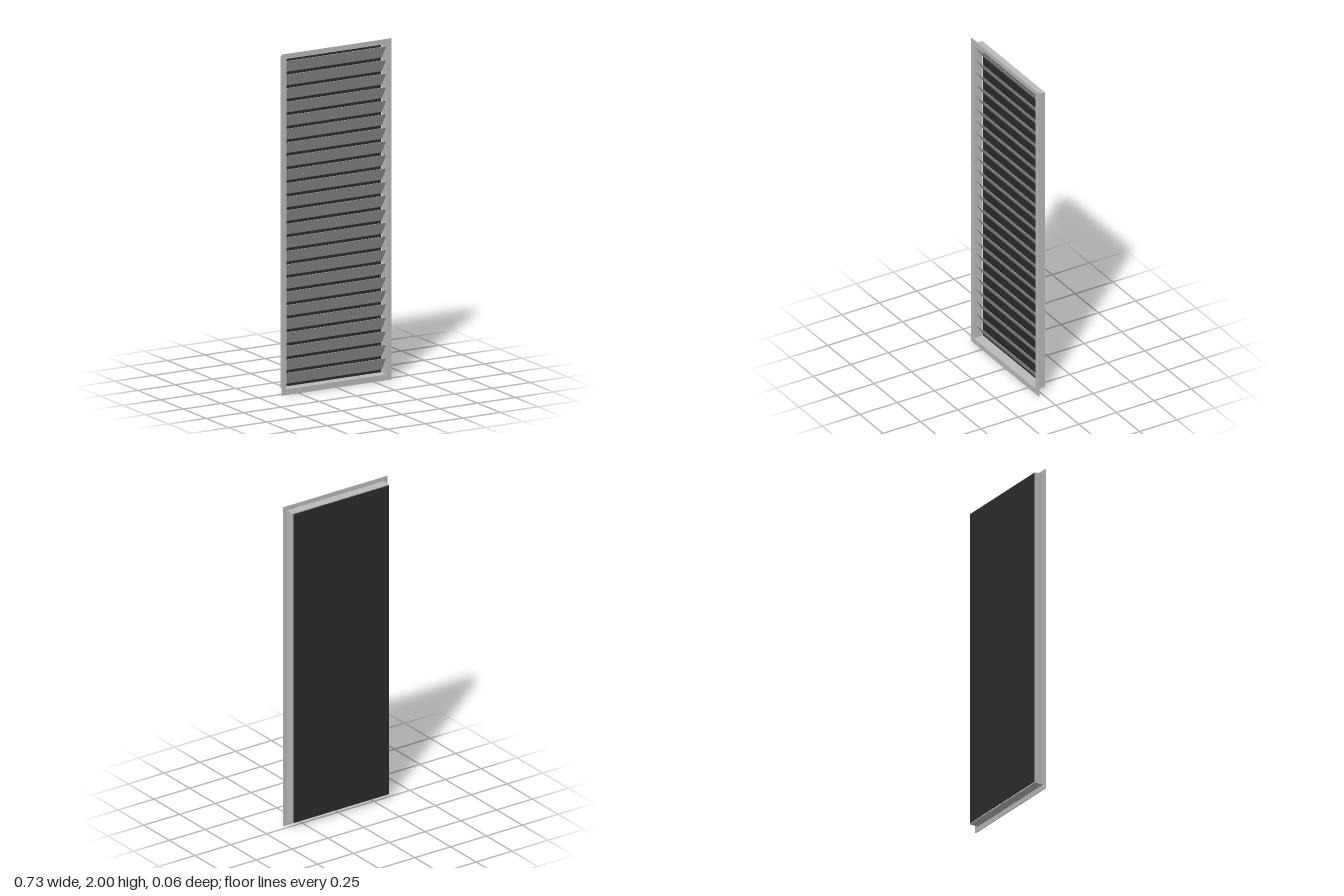
import * as THREE from 'three';

// Rectangular ring extruded forward from z0 to z1
function ring(outer, inner, z0, z1, material, name) {
  const rect = (T, [x, y0, y1]) => {
    const s = new T();
    s.moveTo(-x, y0);
    s.lineTo(x, y0);
    s.lineTo(x, y1);
    s.lineTo(-x, y1);
    s.closePath();
    return s;
  };
  const shape = rect(THREE.Shape, outer);
  shape.holes.push(rect(THREE.Path, inner));
  const geometry = new THREE.ExtrudeGeometry(shape, { depth: z1 - z0, bevelEnabled: false });
  geometry.translate(0, 0, z0);
  const mesh = new THREE.Mesh(geometry, material);
  mesh.name = name;
  return mesh;
}

export function createModel() {
  const metal = new THREE.MeshStandardMaterial({ color: 0xb8bbb9 });
  metal.name = 'grey metal';
  const black = new THREE.MeshStandardMaterial({ color: 0x2c2c2c });
  black.name = 'black backing';

  const group = new THREE.Group();
  group.name = 'louvreVent';

  // Front flange and the sleeve behind it
  const opening = [0.333, 0.034, 1.971];
  group.add(ring([0.364, 0, 2], opening, 0.026, 0.031, metal, 'flange'));
  group.add(ring([0.337, 0.03, 1.975], opening, -0.028, 0.026, metal, 'sleeve'));

  // Thin backing panel
  const panel = new THREE.Mesh(new THREE.BoxGeometry(0.666, 1.937, 0.001), black);
  panel.name = 'backPanel';
  panel.position.set(0, 1.0025, -0.0305);
  group.add(panel);

  // Slats rising from back to front
  const count = 24, pitch = 0.0795, rise = 0.076, run = 0.05;
  const slatGeometry = new THREE.BoxGeometry(0.666, 0.002, Math.hypot(rise, run));
  const slats = new THREE.Group();
  slats.name = 'slats';
  for (let i = 0; i < count; i++) {
    const slat = new THREE.Mesh(slatGeometry, metal);
    slat.name = 'slat';
    slat.position.set(0, 1.0035 + (i - (count - 1) / 2) * pitch, -0.001);
    slat.rotation.x = -Math.atan2(rise, run);
    slats.add(slat);
  }
  group.add(slats);
  return group;
}
